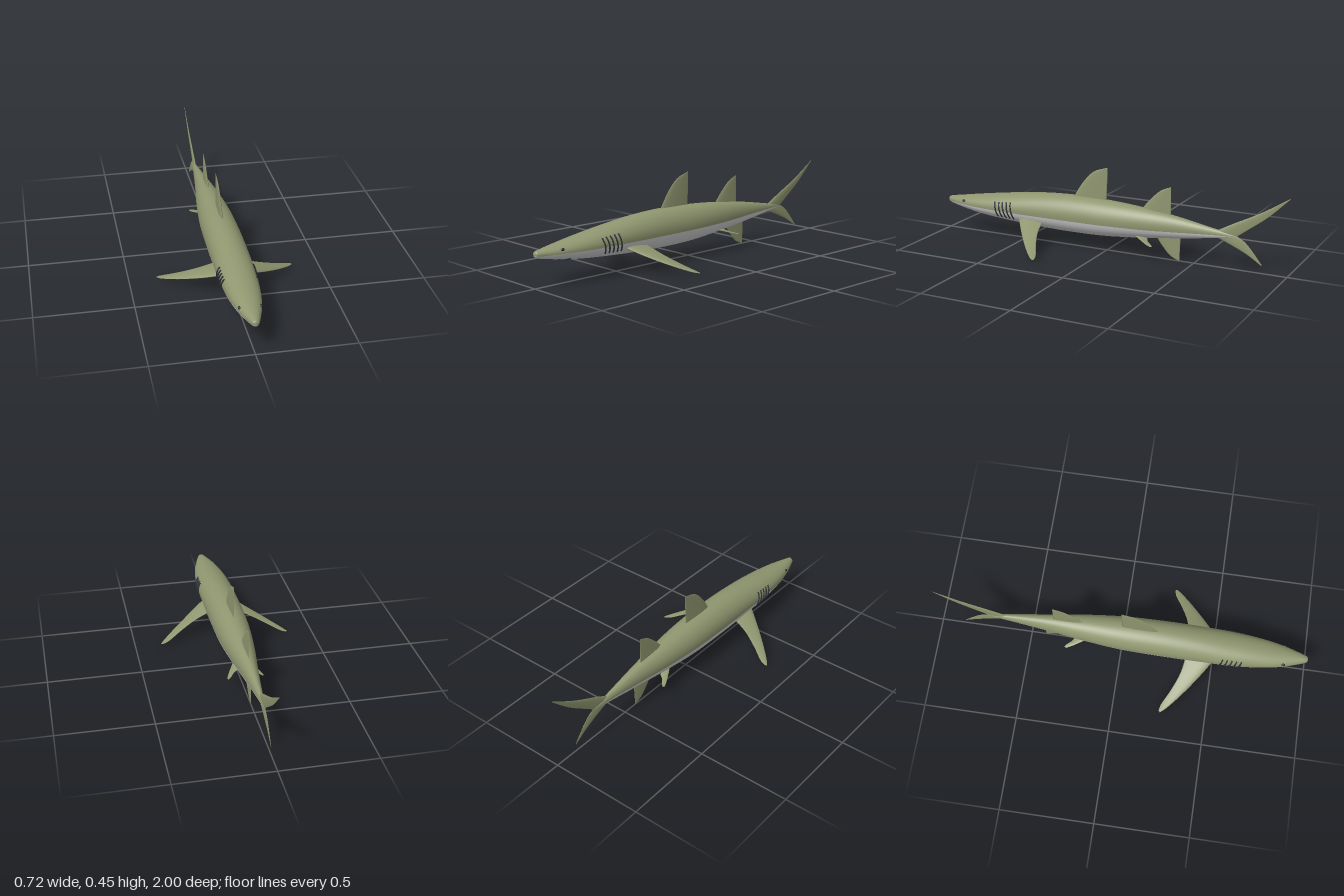
import * as THREE from 'three';

const V = (x, y, z) => new THREE.Vector3(x, y, z);
const paint = (color) => new THREE.MeshStandardMaterial({ color, roughness: 0.8 });

// Body stations from nose to tail: z, top, bottom, half width
const STATIONS = [
  [1.0, 0.17, 0.17, 0], [0.995, 0.184, 0.157, 0.014], [0.98, 0.189, 0.15, 0.022],
  [0.94, 0.196, 0.141, 0.036], [0.87, 0.207, 0.129, 0.057], [0.76, 0.225, 0.113, 0.078],
  [0.6, 0.249, 0.099, 0.092], [0.4, 0.274, 0.087, 0.095], [0.2, 0.285, 0.082, 0.094],
  [0, 0.281, 0.086, 0.088], [-0.2, 0.267, 0.103, 0.069], [-0.4, 0.243, 0.126, 0.042],
  [-0.6, 0.208, 0.154, 0.018], [-0.68, 0.193, 0.166, 0.01], [-0.725, 0.182, 0.174, 0.003],
];
const heights = new THREE.CatmullRomCurve3(
  STATIONS.map(([z, t, b]) => V((t + b) / 2, (t - b) / 2, z)), false, 'catmullrom');
const widths = new THREE.CatmullRomCurve3(
  STATIONS.map(([z, , , w]) => V(w, 0, z)), false, 'catmullrom');

function section(t) {
  const p = heights.getPoint(t);
  return { mid: p.x, h: Math.max(p.y, 0), z: p.z, w: Math.max(widths.getPoint(t).x, 0) };
}

// Section at a given z, found by bisection along the body
function sectionAt(z) {
  let a = 0, b = 1;
  for (let i = 0; i < 30; i++) {
    const m = (a + b) / 2;
    if (heights.getPoint(m).z > z) a = m; else b = m;
  }
  return section(a);
}

const ringPoint = (s, angle, lift = 0) =>
  V((s.w + lift) * Math.cos(angle), s.mid + (s.h + lift) * Math.sin(angle), s.z);

// Skin over rows of points; faces point along (row step) x (point step)
function loft(rows, name, material) {
  const n = rows[0].length, index = [];
  for (let i = 0; i < rows.length - 1; i++) {
    for (let j = 0; j < n - 1; j++) {
      const a = i * n + j, b = a + n;
      index.push(a, b, a + 1, b, b + 1, a + 1);
    }
  }
  const geometry = new THREE.BufferGeometry().setFromPoints(rows.flat());
  geometry.setIndex(index);
  geometry.computeVertexNormals();
  const mesh = new THREE.Mesh(geometry, material);
  mesh.name = name;
  return mesh;
}

// Back or belly: the part of each ring above or below the colour line
function bodyHalf(name, material, upper) {
  const rows = [], N = 24, L = 84;
  for (let i = 0; i <= L; i++) {
    const s = section(i / L);
    const line = 0.163 + 0.014 * THREE.MathUtils.smoothstep(-s.z, 0.2, 0.72);
    const k = s.h > 0 ? THREE.MathUtils.clamp((line - s.mid) / s.h, -0.9, 0.9) : 0;
    const split = Math.asin(k);
    const from = upper ? split : Math.PI - split;
    const to = upper ? Math.PI - split : 2 * Math.PI + split;
    const row = [];
    for (let j = 0; j <= N; j++) row.push(ringPoint(s, from + (to - from) * j / N));
    rows.push(row);
  }
  return loft(rows, name, material);
}

// Lens-shaped fin between a leading and a trailing edge
function fin(name, lead, trail, thickness, material, side = 1) {
  const edge = (pts) => new THREE.CatmullRomCurve3(pts.map(([x, y, z]) => V(side * x, y, z)));
  const front = edge(lead), back = edge(trail);
  const a = front.getPoint(0), b = back.getPoint(0);
  const normal = front.getPoint(1).sub(a).cross(b.clone().sub(a)).normalize();
  const rows = [], N = 16, L = 16;
  for (let i = 0; i <= L; i++) {
    const t = i / L, le = front.getPoint(t), te = back.getPoint(t);
    const half = thickness * (1 - 0.9 * t), row = [];
    for (let j = 0; j <= N; j++) {
      const phi = 2 * Math.PI * j / N, c = (1 - Math.cos(phi)) / 2;
      row.push(le.clone().lerp(te, c)
        .addScaledVector(normal, half * Math.sin(phi) * (1.25 - 0.8 * c)));
    }
    rows.push(row);
  }
  return loft(rows, name, material);
}

function darkLine(name, points, radius, material) {
  const curve = new THREE.CatmullRomCurve3(points);
  const mesh = new THREE.Mesh(new THREE.TubeGeometry(curve, 16, radius, 8), material);
  mesh.name = name;
  return mesh;
}

export function createModel() {
  const model = new THREE.Group();
  model.name = 'shark';
  const olive = paint(0x8f966f), pale = paint(0xcccccc), dark = paint(0x2c3036);
  const finSkin = paint(0x8f966f);
  finSkin.side = THREE.DoubleSide;

  model.add(bodyHalf('back', olive, true), bodyHalf('belly', pale, false));

  // Fins on the centre line
  model.add(
    fin('firstDorsalFin',
      [[0, 0.265, 0.205], [0, 0.36, 0.145], [0, 0.427, 0.08], [0, 0.457, 0]],
      [[0, 0.26, 0.003], [0, 0.33, 0.0], [0, 0.4, -0.002], [0, 0.452, -0.003]], 0.009, finSkin),
    fin('secondDorsalFin',
      [[0, 0.25, -0.195], [0, 0.315, -0.25], [0, 0.37, -0.31], [0, 0.395, -0.365]],
      [[0, 0.235, -0.37], [0, 0.29, -0.369], [0, 0.345, -0.368], [0, 0.39, -0.367]], 0.008, finSkin),
    fin('analFin',
      [[0, 0.125, -0.285], [0, 0.07, -0.325], [0, 0.024, -0.37], [0, 0.004, -0.415]],
      [[0, 0.14, -0.425], [0, 0.09, -0.423], [0, 0.045, -0.421], [0, 0.008, -0.42]], 0.006, finSkin),
    fin('upperTailLobe',
      [[0, 0.19, -0.61], [0, 0.24, -0.7], [0, 0.317, -0.85], [0, 0.41, -1]],
      [[0, 0.175, -0.725], [0, 0.216, -0.78], [0, 0.3, -0.89], [0, 0.404, -0.998]], 0.008, finSkin),
    fin('lowerTailLobe',
      [[0, 0.17, -0.6], [0, 0.127, -0.71], [0, 0.09, -0.79], [0, 0.043, -0.865]],
      [[0, 0.185, -0.725], [0, 0.155, -0.775], [0, 0.113, -0.815], [0, 0.048, -0.867]], 0.007, finSkin),
  );

  // Paired parts
  for (const side of [1, -1]) {
    const tag = side > 0 ? 'left' : 'right';
    model.add(
      fin(tag + 'PectoralFin',
        [[0.06, 0.145, 0.51], [0.15, 0.102, 0.446], [0.26, 0.054, 0.358], [0.34, 0.022, 0.283],
          [0.359, 0.016, 0.258]],
        [[0.06, 0.135, 0.355], [0.15, 0.1, 0.338], [0.24, 0.06, 0.3], [0.32, 0.025, 0.257],
          [0.35, 0.017, 0.25]], 0.012, finSkin, side),
      fin(tag + 'PelvicFin',
        [[0.04, 0.122, -0.18], [0.065, 0.109, -0.225], [0.085, 0.096, -0.265], [0.096, 0.09, -0.292]],
        [[0.03, 0.112, -0.25], [0.055, 0.103, -0.265], [0.075, 0.095, -0.29], [0.09, 0.09, -0.303]],
        0.005, finSkin, side),
    );

    // Five slanted gill slits following the flank
    for (let i = 0; i < 5; i++) {
      const points = [];
      for (let j = 0; j <= 6; j++) {
        const t = j / 6, s = sectionAt(0.53 + 0.025 * i + 0.02 * t);
        const p = ringPoint(s, -0.62 + 1.18 * t, 0.002);
        p.x *= side;
        points.push(p);
      }
      model.add(darkLine(tag + 'GillSlit' + (i + 1), points, 0.004, dark));
    }

    const eye = new THREE.Mesh(new THREE.SphereGeometry(0.009, 20, 14), dark);
    eye.name = tag + 'Eye';
    eye.position.copy(ringPoint(sectionAt(0.87), 0.42));
    eye.position.x *= side;
    eye.scale.set(0.7, 0.9, 1.1);
    model.add(eye);
  }

  // Mouth curving back under the head
  const mouth = [];
  for (let i = -4; i <= 4; i++) {
    const u = i / 4, s = sectionAt(0.855 - 0.035 * u * u);
    mouth.push(ringPoint(s, -Math.PI / 2 + 0.8 * u, 0.001));
  }
  model.add(darkLine('mouth', mouth, 0.004, dark));

  return model;
}
